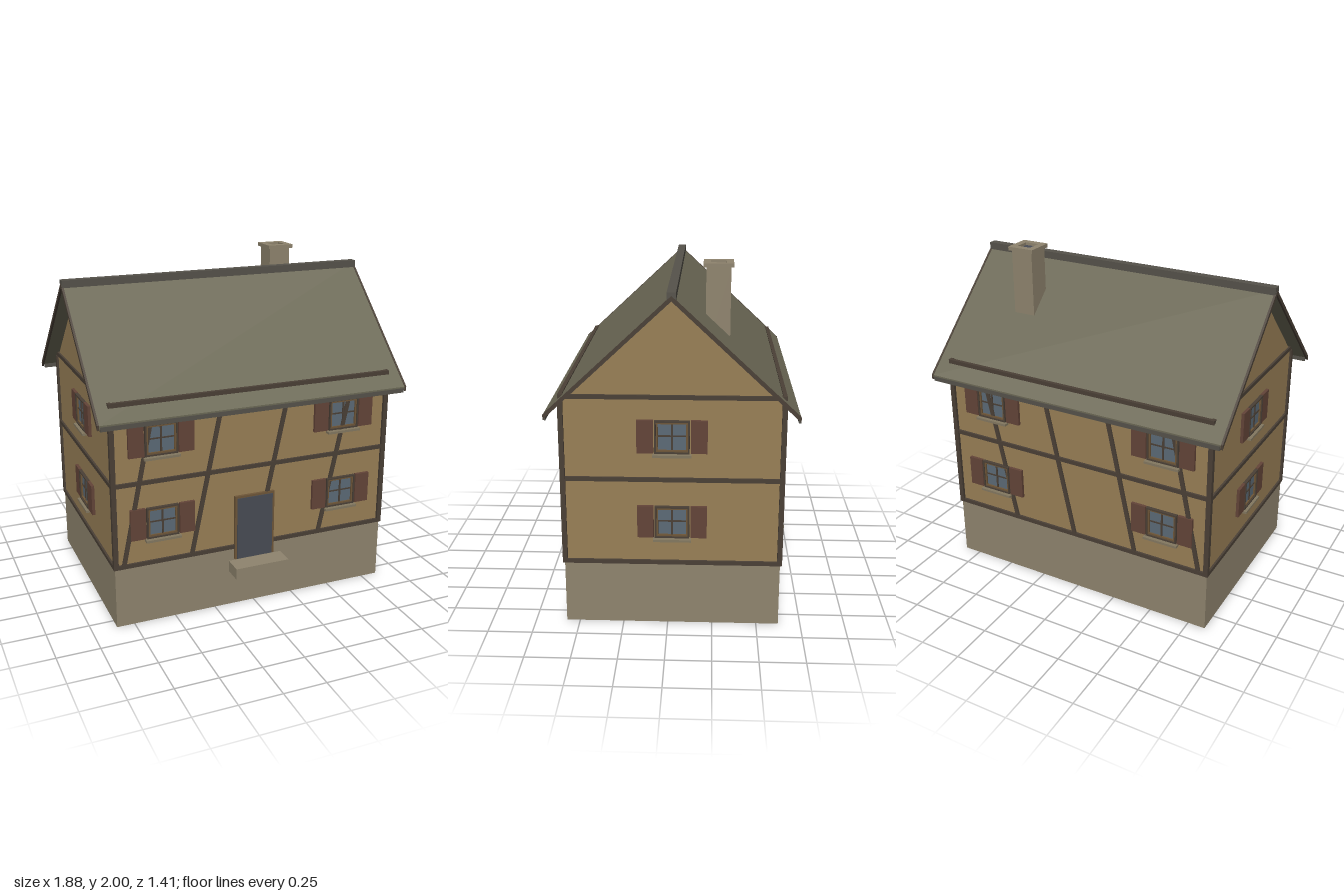
import * as THREE from 'three';

const mat = (color) => new THREE.MeshStandardMaterial({ color });
const M = {
  stone: mat(0x8f846e), wall: mat(0x987f56), timber: mat(0x4a4036), roof: mat(0x6c6956),
  trim: mat(0x55524a), shutter: mat(0x634438), frame: mat(0x6e5638), glass: mat(0x5c6a76),
  door: mat(0x484c54), dark: mat(0x474b55), sill: mat(0x837860),
};

const HX = 0.85, HZ = 0.595; // half length and half depth of the walls
const RIDGE = 1.885, SLOPE = 0.933, EAVE = 0.675;

// Box given by its minimum and maximum on each axis
function box(parent, name, material, x0, x1, y0, y1, z0, z1) {
  const mesh = new THREE.Mesh(new THREE.BoxGeometry(x1 - x0, y1 - y0, z1 - z0), material);
  mesh.name = name;
  mesh.position.set((x0 + x1) / 2, (y0 + y1) / 2, (z0 + z1) / 2);
  parent.add(mesh);
  return mesh;
}

// A (z, y) outline extruded along x, from x0 to x1
function prism(parent, name, material, outline, x0, x1) {
  const shape = new THREE.Shape(outline.map(([a, b]) => new THREE.Vector2(a, b)));
  const geo = new THREE.ExtrudeGeometry(shape, { depth: x1 - x0, bevelEnabled: false });
  geo.rotateY(Math.PI / 2);
  const mesh = new THREE.Mesh(geo, material);
  mesh.name = name;
  mesh.position.x = x0;
  parent.add(mesh);
}

// Upside-down V used for the roof and its verge boards
function chevron(top, thick, reach) {
  const drop = reach * SLOPE;
  return [[-reach, top - drop], [-reach, top - drop - thick], [0, top - thick],
    [reach, top - drop - thick], [reach, top - drop], [0, top]];
}

// Rectangular ring lying in the xy plane
function ring(parent, name, material, w, h, border, depth) {
  const rect = (Cls, a, b) => new Cls([[-a, -b], [a, -b], [a, b], [-a, b]].map((p) => new THREE.Vector2(...p)));
  const shape = rect(THREE.Shape, w / 2, h / 2);
  shape.holes.push(rect(THREE.Path, w / 2 - border, h / 2 - border));
  const mesh = new THREE.Mesh(new THREE.ExtrudeGeometry(shape, { depth, bevelEnabled: false }), material);
  mesh.name = name;
  parent.add(mesh);
  return mesh;
}

// Window with shutters and sill, facing +z with the wall surface at z = 0
function makeWindow() {
  const g = new THREE.Group();
  g.name = 'window';
  box(g, 'glass', M.glass, -0.09, 0.09, -0.09, 0.09, -0.01, 0.004);
  ring(g, 'outerFrame', M.timber, 0.19, 0.185, 0.009, 0.02);
  ring(g, 'innerFrame', M.frame, 0.174, 0.169, 0.011, 0.014);
  box(g, 'mullion', M.timber, -0.005, 0.005, -0.08, 0.08, 0, 0.01);
  box(g, 'glazingBar', M.timber, -0.08, 0.08, 0.001, 0.009, 0, 0.009);
  box(g, 'sill', M.sill, -0.105, 0.105, -0.111, -0.097, 0, 0.035);
  for (const s of [-1, 1]) {
    const shutter = box(g, 'shutter', M.shutter, -0.045, 0.045, -0.091, 0.094, 0, 0.018);
    shutter.position.x = s * 0.146;
  }
  return g;
}

// Slanted timber brace on a long wall
function brace(parent, x0, z) {
  const y0 = 0.37, y1 = 1.31, dx = 0.197;
  const mesh = new THREE.Mesh(new THREE.BoxGeometry(0.024, Math.hypot(dx, y1 - y0), 0.02), M.timber);
  mesh.name = 'brace';
  mesh.position.set(x0 + dx / 2, (y0 + y1) / 2, z);
  mesh.rotation.z = -Math.atan2(dx, y1 - y0);
  parent.add(mesh);
}

export function createModel() {
  const model = new THREE.Group();
  model.name = 'timberFramedHouse';
  const house = new THREE.Group();
  house.name = 'house';
  house.position.z = -0.025;
  model.add(house);

  // Plinth and gabled walls
  box(house, 'plinth', M.stone, -0.855, 0.855, 0, 0.36, -0.6, 0.6);
  prism(house, 'walls', M.wall, [[-HZ, 0.36], [HZ, 0.36], [HZ, 1.3], [0, 1.862], [-HZ, 1.3]], -HX, HX);

  // Timber frame: horizontal beams, corner posts, braces
  for (const y of [0.375, 0.867, 1.333]) {
    for (const s of [-1, 1]) {
      const long = box(house, 'longBeam', M.timber, -0.86, 0.86, y - 0.012, y + 0.012, -0.011, 0.011);
      long.position.z = s * 0.597;
      const short = box(house, 'gableBeam', M.timber, -0.011, 0.011, y - 0.012, y + 0.012, -0.6, 0.6);
      short.position.x = s * 0.851;
    }
  }
  for (const sx of [-1, 1]) {
    for (const sz of [-1, 1]) {
      const post = box(house, 'cornerPost', M.timber, -0.014, 0.014, 0.365, 1.315, -0.014, 0.014);
      post.position.x = sx * 0.849;
      post.position.z = sz * 0.597;
    }
  }
  for (const x of [-0.803, -0.395, 0.012, 0.423]) for (const s of [-1, 1]) brace(house, x, s * 0.597);

  // Windows on all four sides, two storeys
  const place = (x, y, z, turn) => {
    const w = makeWindow();
    w.position.set(x, y, z);
    w.rotation.y = turn;
    house.add(w);
  };
  for (const y of [0.62, 1.113]) {
    for (const x of [-0.568, 0.564]) {
      place(x, y, HZ, 0);
      place(x, y, -HZ, Math.PI);
    }
    place(HX, y, 0, Math.PI / 2);
    place(-HX, y, 0, -Math.PI / 2);
  }

  // Front door and step
  box(house, 'doorFrame', M.frame, -0.128, 0.122, 0.295, 0.695, 0.59, 0.612);
  box(house, 'door', M.door, -0.115, 0.109, 0.297, 0.682, 0.6, 0.616);
  box(house, 'doorStep', M.stone, -0.168, 0.165, 0.228, 0.295, 0.615, 0.73);

  // Roof, verge boards, ridge cap and gutters
  prism(house, 'roof', M.roof, chevron(RIDGE, 0.018, EAVE), -0.932, 0.932);
  for (const s of [-1, 1]) {
    const x = s * 0.936;
    prism(house, 'vergeBoard', M.timber, chevron(RIDGE + 0.003, 0.028, EAVE + 0.001), x - 0.006, x + 0.006);
    const gutter = box(house, 'gutter', M.trim, -0.925, 0.925, 1.221, 1.247, -0.007, 0.007);
    gutter.position.z = s * 0.671;
  }
  box(house, 'ridgeCap', M.trim, -0.94, 0.94, 1.862, 1.905, -0.024, 0.024);

  // Chimney with an open cap
  const chimney = new THREE.Group();
  chimney.name = 'chimney';
  chimney.position.set(0.505, 0, -0.24);
  house.add(chimney);
  box(chimney, 'chimneyShaft', M.stone, -0.067, 0.067, 1.5, 1.976, -0.067, 0.067);
  box(chimney, 'flue', M.dark, -0.045, 0.045, 1.97, 1.984, -0.045, 0.045);
  const cap = ring(chimney, 'chimneyCap', M.stone, 0.164, 0.164, 0.04, 0.022);
  cap.rotation.x = -Math.PI / 2;
  cap.position.y = 1.978;

  return model;
}
